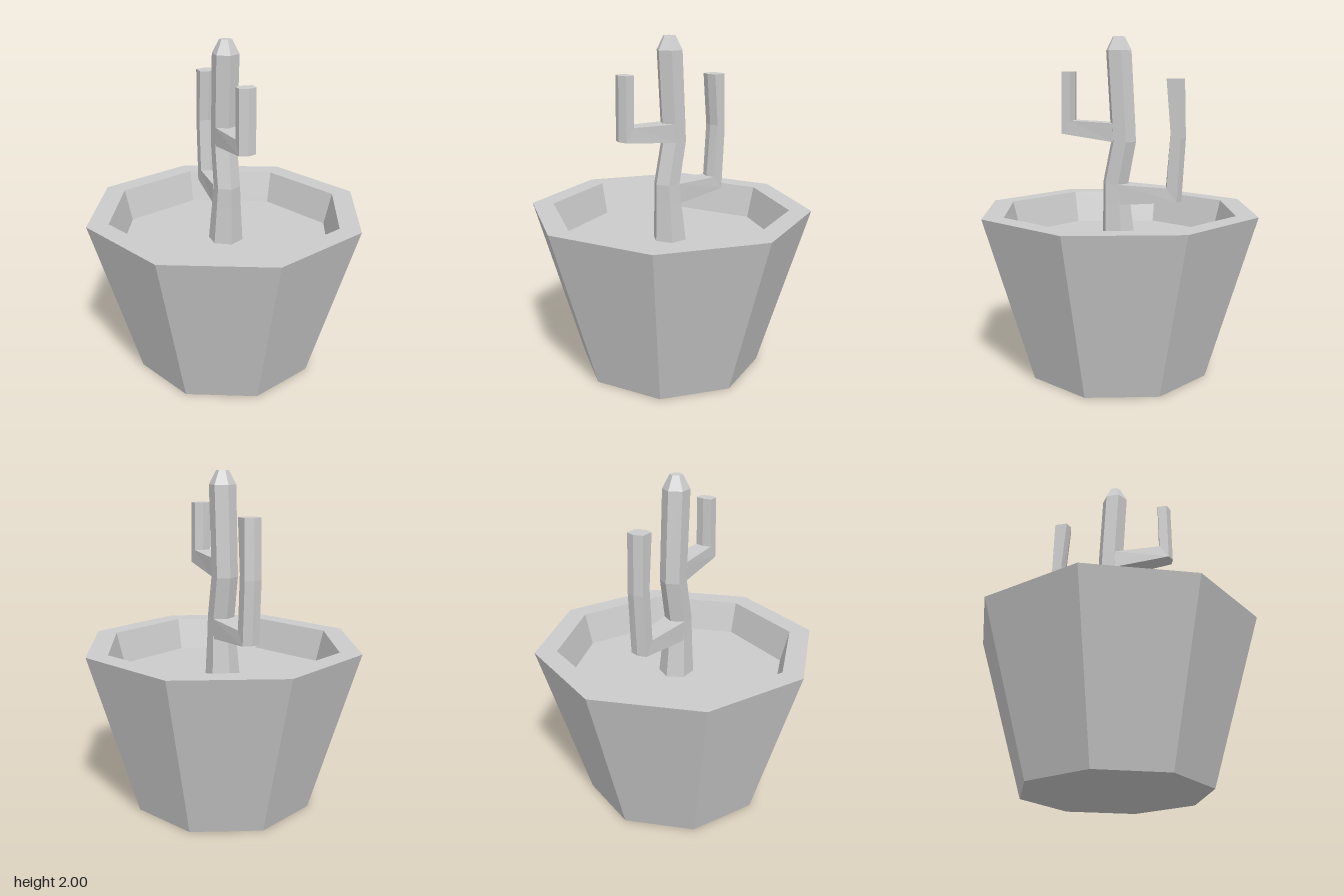
import * as THREE from 'three';

const material = new THREE.MeshStandardMaterial({ color: 0xcccccc, flatShading: true });

function addMesh(parent, name, geometry) {
  const mesh = new THREE.Mesh(geometry, material);
  mesh.name = name;
  parent.add(mesh);
}

// Skins a row of rings (each counter-clockwise seen from the end) and caps the end.
function loft(rings) {
  const pos = [];
  const tri = (...pts) => pts.forEach((p) => pos.push(...p));
  const n = rings[0].length;
  for (let k = 0; k < rings.length - 1; k++) {
    const a = rings[k], b = rings[k + 1];
    for (let i = 0; i < n; i++) {
      const j = (i + 1) % n;
      tri(a[i], a[j], b[j]);
      tri(a[i], b[j], b[i]);
    }
  }
  const end = rings[rings.length - 1];
  for (let i = 1; i < n - 1; i++) tri(end[0], end[i], end[i + 1]);
  const geometry = new THREE.BufferGeometry();
  geometry.setAttribute('position', new THREE.Float32BufferAttribute(pos, 3));
  geometry.computeVertexNormals();
  return geometry;
}

// Horizontal hexagon with its points along z.
function hexRing([y, z, r]) {
  return Array.from({ length: 6 }, (_, i) => {
    const a = Math.PI / 6 + (i * Math.PI) / 3;
    return [r * Math.cos(a), y, z - r * Math.sin(a)];
  });
}

// Six-point arm section: outer (lower) side, then inner (upper) side, each with a middle point.
// dir is +1 for an arm reaching forward, -1 for one reaching back.
function armRing(dir, [w, yOut, zOut, zOutMid, yIn, zIn, zInMid]) {
  const x = w * dir;
  return [
    [-x, yOut, zOut], [0, yOut, zOutMid], [x, yOut, zOut],
    [x, yIn, zIn], [0, yIn, zInMid], [-x, yIn, zIn],
  ];
}

export function createModel() {
  const model = new THREE.Group();
  model.name = 'pottedCactus';

  // Octagonal pot with a thick rim; the inner floor is the soil
  const profile = [[0, 0], [0.55, 0], [0.845, 0.985], [0.715, 0.985], [0.665, 0.79]];
  addMesh(model, 'pot', new THREE.LatheGeometry(profile.map((p) => new THREE.Vector2(...p)), 8));
  const soil = new THREE.CircleGeometry(0.665, 8);
  soil.rotateX(-Math.PI / 2).translate(0, 0.79, 0);
  addMesh(model, 'soil', soil);

  const cactus = new THREE.Group();
  cactus.name = 'cactus';
  model.add(cactus);

  // Bent trunk with a tapered tip: [y, z, radius]
  addMesh(cactus, 'trunk', loft([
    [0.79, 0, 0.104], [1.02, 0.013, 0.087], [1.14, 0.02, 0.08], [1.39, -0.03, 0.078],
    [1.5, -0.025, 0.078], [1.92, 0, 0.079], [2, 0, 0.037],
  ].map(hexRing)));

  // Arms: root on the trunk, mitred elbow, then upright part
  addMesh(cactus, 'frontArm', loft([
    [0.067, 1.39, 0.01, 0.048, 1.5, 0.015, 0.053],
    [0.05, 1.43, 0.35, 0.367, 1.51, 0.295, 0.283],
    [0.05, 1.8, 0.345, 0.362, 1.8, 0.29, 0.28],
  ].map((r) => armRing(1, r))));

  addMesh(cactus, 'backArm', loft([
    [0.072, 1.02, -0.03, -0.074, 1.14, -0.02, -0.06],
    [0.052, 1.05, -0.375, -0.39, 1.13, -0.315, -0.295],
    [0.052, 1.42, -0.395, -0.412, 1.45, -0.335, -0.322],
    [0.052, 1.76, -0.385, -0.402, 1.76, -0.308, -0.293],
  ].map((r) => armRing(-1, r))));

  return model;
}
